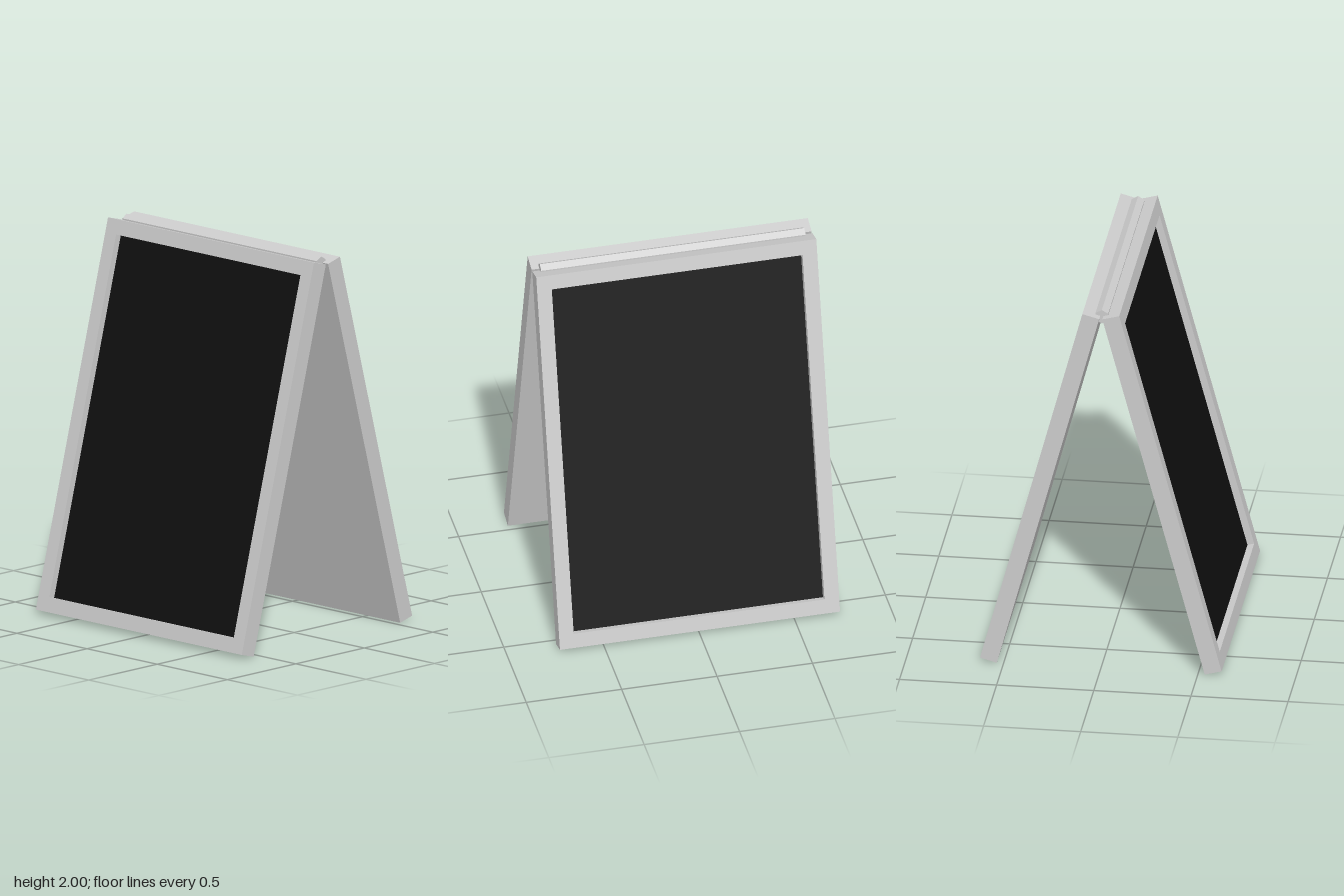
import * as THREE from 'three';

const W = 1.468, L = 2.036, T = 0.09;   // panel width, length, thickness
const BORDER = 0.077, RECESS = 0.036;   // frame width, depth of the writing surface
const TILT = THREE.MathUtils.degToRad(15);

const grey = new THREE.MeshStandardMaterial({ color: 0xcccccc, flatShading: true });
const black = new THREE.MeshStandardMaterial({ color: 0x0f0f0f, flatShading: true });

function add(parent, name, geometry, material, z = 0) {
  const mesh = new THREE.Mesh(geometry, material);
  mesh.name = name;
  mesh.position.z = z;
  parent.add(mesh);
  return mesh;
}

function rectangle(Path, w, bottom, top) {
  return new Path([[-w, bottom], [w, bottom], [w, top], [-w, top]].map(([x, y]) => new THREE.Vector2(x, y)));
}

// One framed board; the origin is its top outer edge, +z is the writing side
function createBoard(name) {
  const board = new THREE.Group();
  board.name = name;

  // Raised rim around the writing surface
  const rim = rectangle(THREE.Shape, W / 2, -L, 0);
  rim.holes.push(rectangle(THREE.Path, W / 2 - BORDER, -L + BORDER, -BORDER));
  const rimDepth = RECESS + 0.006;
  add(board, 'frame', new THREE.ExtrudeGeometry(rim, { depth: rimDepth, bevelEnabled: false }), grey, -rimDepth);

  // Solid backing behind the rim
  const backDepth = T - rimDepth;
  const backing = new THREE.BoxGeometry(W, L, backDepth).translate(0, -L / 2, 0);
  add(board, 'backing', backing, grey, -rimDepth - backDepth / 2);

  // Dark writing surface set into the rim
  const slate = new THREE.BoxGeometry(W - 2 * BORDER, L - 2 * BORDER, 0.006).translate(0, -L / 2, 0);
  add(board, 'writingSurface', slate, black, -RECESS - 0.003);

  board.position.set(0, 1.99, 0.095);
  board.rotation.x = -TILT;
  return board;
}

export function createModel() {
  const model = new THREE.Group();
  model.name = 'sandwichBoard';

  // Two mirrored boards leaning against each other
  ['front', 'back'].forEach((side, i) => {
    const half = new THREE.Group();
    half.name = side + 'Half';
    half.add(createBoard(side + 'Board'));
    half.rotation.y = i * Math.PI;
    model.add(half);
  });

  // Six-sided hinge rod with an edge pointing up
  const rod = new THREE.CylinderGeometry(0.038, 0.038, 1.386, 6, 1, false, Math.PI / 2);
  const hinge = add(model, 'hingeRod', rod, grey);
  hinge.rotation.z = Math.PI / 2;
  hinge.position.y = 1.962;

  return model;
}
